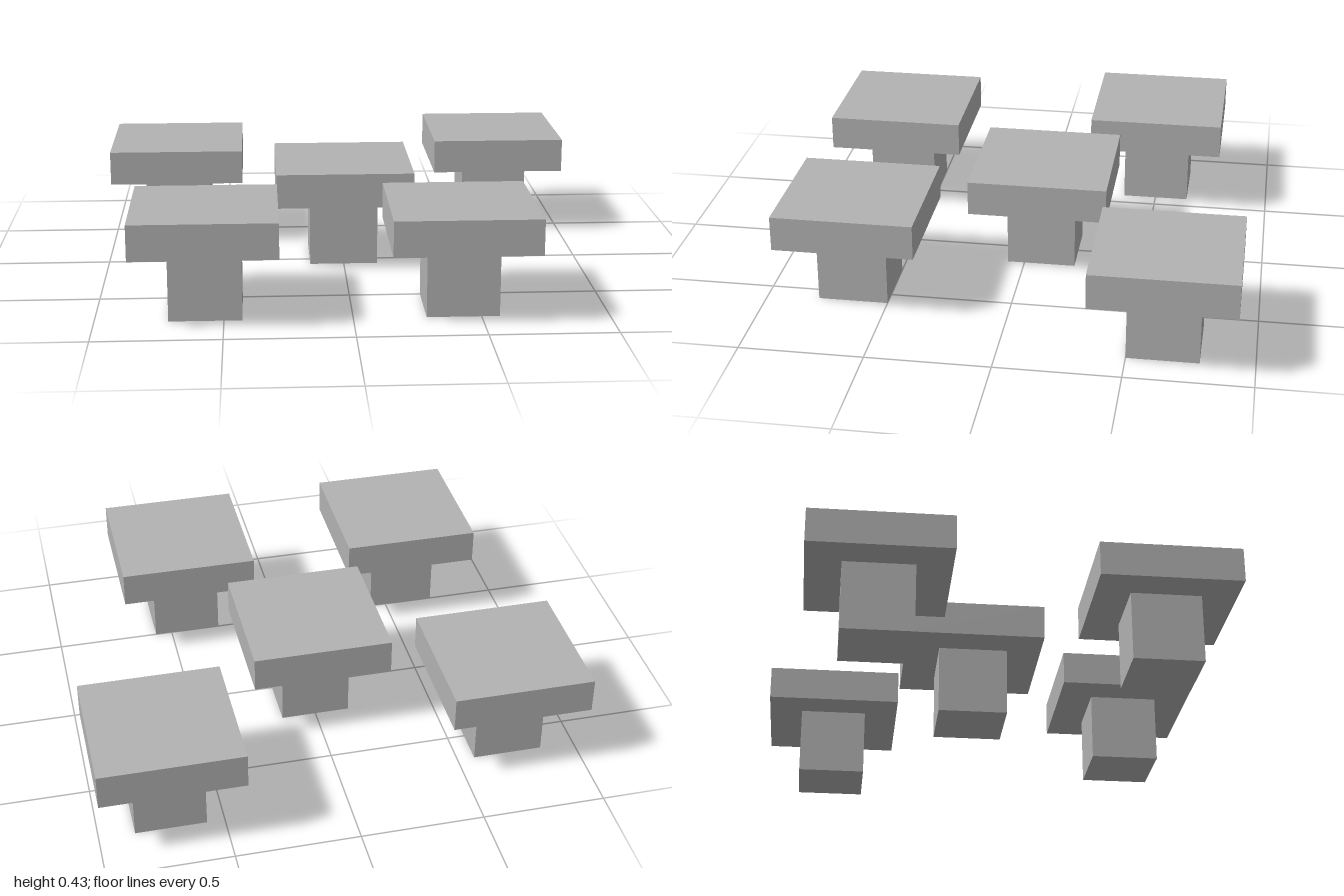
import * as THREE from 'three';

const U = 1 / 7; // base module: every size is a multiple of it

export function createModel() {
  const group = new THREE.Group();
  const grey = new THREE.MeshStandardMaterial({ color: 0xb2b2b2 });
  grey.name = 'grey';

  const slabGeometry = new THREE.BoxGeometry(4 * U, U, 4 * U);
  const pillarGeometry = new THREE.BoxGeometry(2 * U, 2 * U, 2 * U);

  // Platform centres in modules: x, z
  const centres = [[-5, -3.5], [5, -4.5], [0, -0.5], [-4, 4.5], [3, 4.5]];

  centres.forEach(([x, z], i) => {
    const platform = new THREE.Group();
    platform.name = `platform${i + 1}`;
    platform.position.set(x * U, 0, z * U);

    // Square pillar standing on the ground
    const pillar = new THREE.Mesh(pillarGeometry, grey);
    pillar.name = 'pillar';
    pillar.position.y = U;

    // Wide slab resting on the pillar
    const slab = new THREE.Mesh(slabGeometry, grey);
    slab.name = 'slab';
    slab.position.y = 2.5 * U;

    platform.add(pillar, slab);
    group.add(platform);
  });

  return group;
}
